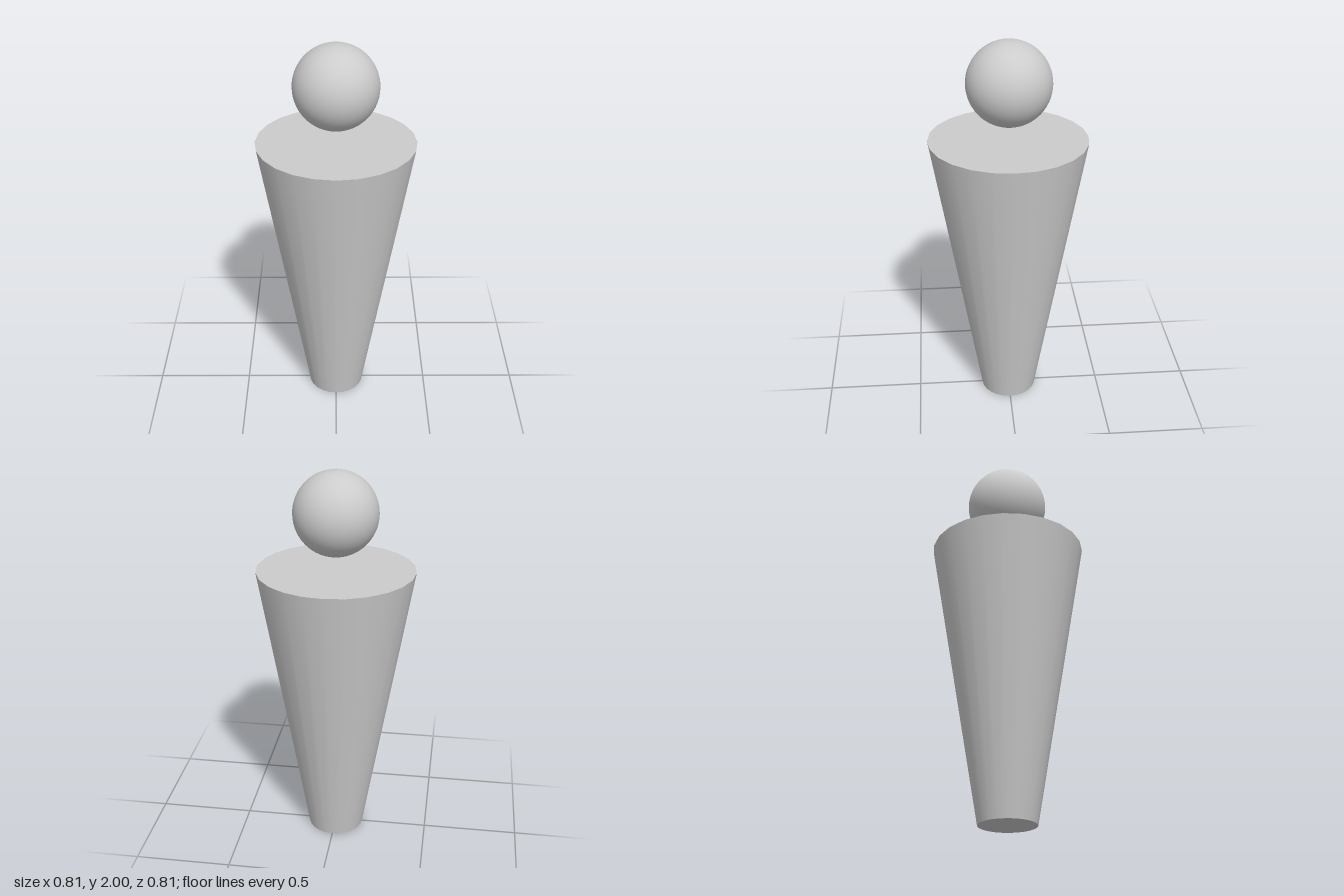
import * as THREE from 'three';

export function createModel() {
  const model = new THREE.Group();
  const grey = new THREE.MeshStandardMaterial({ color: 0xcccccc });

  const add = (name, geometry, y, z = 0) => {
    const mesh = new THREE.Mesh(geometry, grey);
    mesh.name = name;
    mesh.position.set(0, y, z);
    model.add(mesh);
  };

  // Tapered body, wide at the shoulders and capped at both ends
  const bodyHeight = 1.498;
  add('body', new THREE.CylinderGeometry(0.403, 0.147, bodyHeight, 24), bodyHeight / 2);

  // Floating round head
  const headRadius = 0.213;
  add('head', new THREE.SphereGeometry(headRadius, 48, 32), 2 - headRadius, -0.004);

  return model;
}
